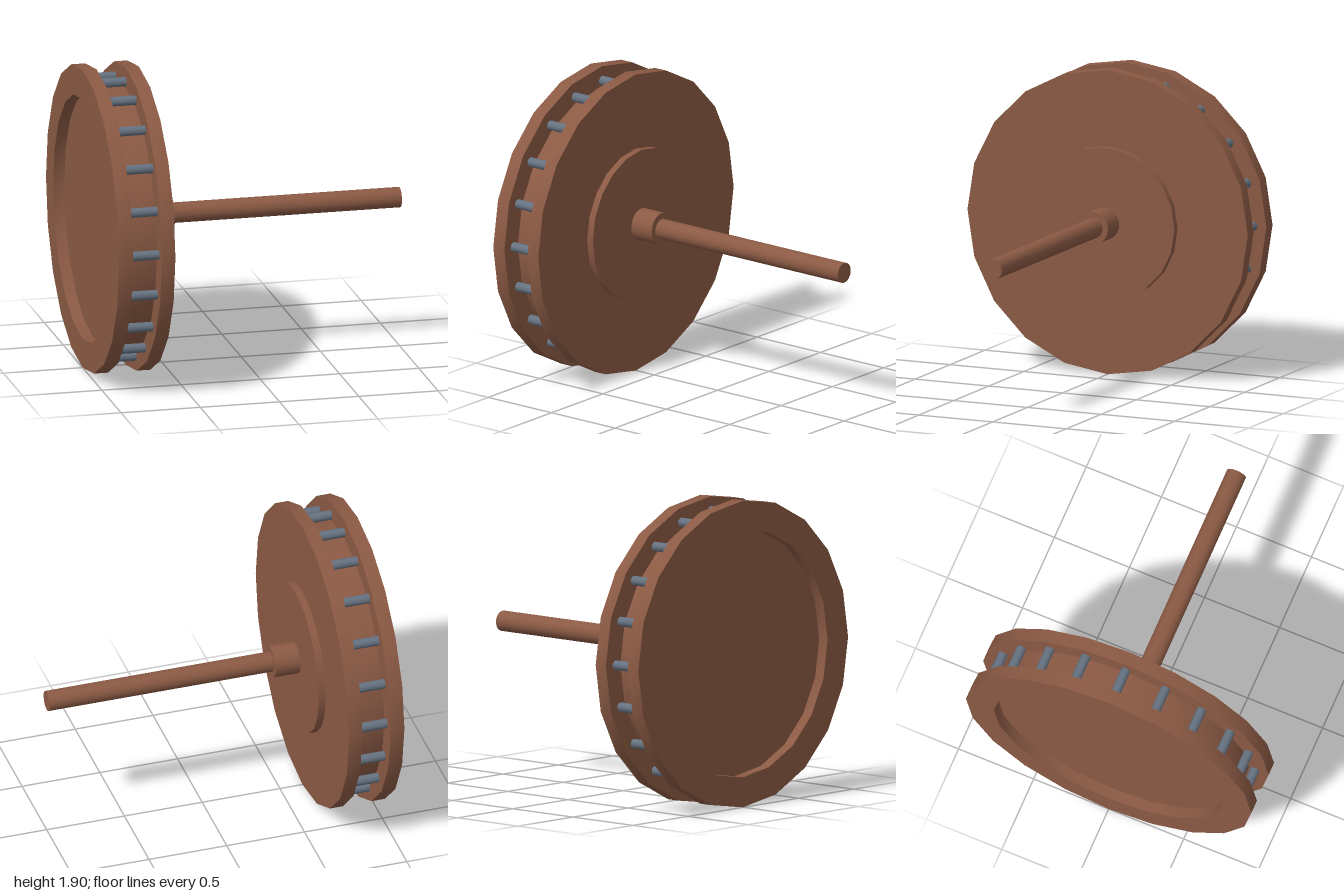
import * as THREE from 'three';
import { toCreasedNormals } from 'three/addons/utils/BufferGeometryUtils.js';

const AXIS_Y = 0.951;
const SIDES = 20;

export function createModel() {
  const group = new THREE.Group();
  const wood = new THREE.MeshStandardMaterial({ name: 'brown wood', color: 0x8b5a44 });
  const steel = new THREE.MeshStandardMaterial({ name: 'blue grey steel', color: 0x667281 });

  const add = (name, geometry, material, y = AXIS_Y, z = 0) => {
    const mesh = new THREE.Mesh(geometry, material);
    mesh.name = name;
    mesh.position.set(0, y, z);
    group.add(mesh);
  };

  // Solid turned around the x axis from [radius, x] pairs
  const turned = (profile, sides) => {
    const points = profile.map(([r, x]) => new THREE.Vector2(r, x));
    return toCreasedNormals(new THREE.LatheGeometry(points, sides).rotateZ(-Math.PI / 2), 0.6);
  };

  // Round bar along the x axis
  const bar = (radius, x0, x1, sides) =>
    new THREE.CylinderGeometry(radius, radius, x1 - x0, sides)
      .rotateZ(-Math.PI / 2)
      .translate((x0 + x1) / 2, 0, 0);

  // Wheel with recessed back, two flanges and the groove between them
  add('wheel', turned([
    [0, -0.93], [0.765, -0.93], [0.765, -1],
    [0.951, -1], [0.951, -0.912],
    [0.82, -0.912], [0.82, -0.73],
    [0.951, -0.73], [0.951, -0.645], [0, -0.645],
  ], SIDES), wood);

  // Raised hub, collar and axle
  add('hubPlate', bar(0.475, -0.65, -0.6, SIDES), wood);
  add('collar', bar(0.1, -0.61, -0.44, 24), wood);
  add('axle', bar(0.063, -0.45, 1, 24), wood);

  // Ring of pins bridging the flanges
  const pin = bar(0.03, -0.915, -0.727, 12);
  for (let i = 0; i < SIDES; i++) {
    const a = (i / SIDES) * Math.PI * 2;
    add('pin', pin, steel, AXIS_Y + 0.86 * Math.sin(a), 0.86 * Math.cos(a));
  }

  return group;
}
